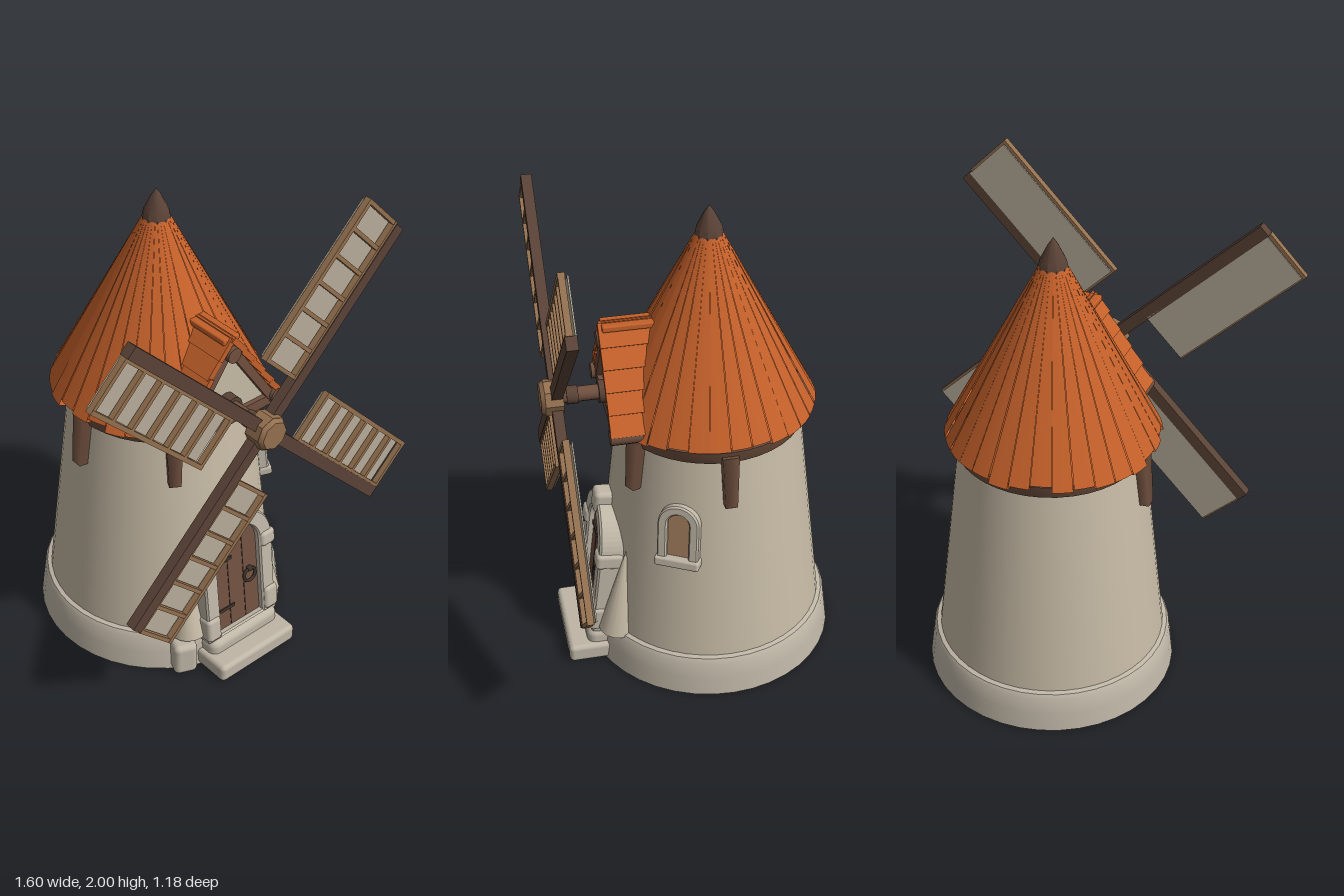
import * as THREE from 'three';
import { toCreasedNormals } from 'three/addons/utils/BufferGeometryUtils.js';
import { RoundedBoxGeometry } from 'three/addons/geometries/RoundedBoxGeometry.js';

const mat = (name, color, side = THREE.FrontSide) => {
  const m = new THREE.MeshStandardMaterial({ color, side });
  m.name = name;
  return m;
};

export function createModel() {
  const M = {
    plaster: mat('plaster', 0xc6baa5),
    stone: mat('stone', 0xbfb6a6),
    tile: mat('orange tile', 0xc4602a, THREE.DoubleSide),
    dark: mat('dark wood', 0x5a4236),
    wood: mat('brown wood', 0x70503f),
    light: mat('light wood', 0x93704f),
    cloth: mat('sail cloth', 0xb8ac9a),
    pane: mat('window pane', 0xa47e5e),
    iron: mat('iron', 0x3e322d),
  };
  const model = new THREE.Group();
  model.name = 'windmill';
  const CZ = -0.075, LEAN = -0.118;
  let seed = 7;
  const rnd = () => ((seed = (seed * 16807) % 2147483647) / 2147483647);

  const add = (name, geo, m, parent = model, x = 0, y = 0, z = 0) => {
    const mesh = new THREE.Mesh(geo, m);
    mesh.name = name;
    mesh.position.set(x, y, z);
    parent.add(mesh);
    return mesh;
  };
  const group = (name, parent = model) => {
    const g = new THREE.Group();
    g.name = name;
    parent.add(g);
    return g;
  };
  const box = (name, w, h, d, m, parent, x, y, z) => add(name, new THREE.BoxGeometry(w, h, d), m, parent, x, y, z);
  const block = (name, w, h, d, m, parent, x, y, z) =>
    add(name, new RoundedBoxGeometry(w, h, d, 2, Math.min(w, h, d) * 0.25), m, parent, x, y, z);
  // cylinder lying along z
  const log = (name, r, z0, z1, m, parent, x, y, sides = 12, r2 = r) => {
    const mesh = add(name, toCreasedNormals(new THREE.CylinderGeometry(r2, r, z1 - z0, sides), 0.7), m, parent, x, y, (z0 + z1) / 2);
    mesh.rotation.x = Math.PI / 2;
    return mesh;
  };
  const lathe = (pts, seg, start = 0, len = Math.PI * 2) =>
    toCreasedNormals(new THREE.LatheGeometry(pts.map(p => new THREE.Vector2(...p)), seg, start, len), 0.6);
  // round-topped outline standing on y = 0
  const arch = (w, h, Type = THREE.Shape) => {
    const s = new Type();
    s.moveTo(-w, 0);
    s.lineTo(w, 0);
    s.lineTo(w, h - w);
    s.absarc(0, h - w, w, 0, Math.PI, false);
    s.closePath();
    return s;
  };
  const archFrame = (w, h, t, depth) => {
    const s = arch(w + t, h + t);
    s.holes.push(arch(w, h, THREE.Path));
    return new THREE.ExtrudeGeometry(s, { depth, bevelEnabled: true, bevelSize: 0.006, bevelThickness: 0.008, bevelSegments: 1, curveSegments: 14 });
  };
  const plate = (shape, depth) => new THREE.ExtrudeGeometry(shape, { depth, bevelEnabled: false, curveSegments: 14 });

  // Tower: stone plinth, tapering wall and wooden eave ring
  add('plinth', lathe([[0, 0], [0.515, 0], [0.505, 0.08], [0.495, 0.15], [0.485, 0.168], [0.46, 0.175]], 40), M.stone, model, 0, 0, CZ);
  add('towerWall', lathe([[0.47, 0.15], [0.36, 1.1]], 48), M.plaster, model, 0, 0, CZ);
  add('eaveRing', lathe([[0.34, 1.06], [0.375, 1.065], [0.385, 1.09], [0.395, 1.125], [0.3, 1.14]], 40), M.wood, model, 0, 0, CZ);

  // Brackets under the eaves
  for (const a of [-Math.PI / 2, -0.55, 0.55, Math.PI / 2]) {
    const g = group('eaveBracket');
    g.position.z = CZ;
    g.rotation.y = a;
    const b = add('bracketPost', new THREE.CylinderGeometry(0.045, 0.034, 0.22, 4, 1), M.wood, g, 0, 0.99, 0.385);
    b.geometry.rotateY(Math.PI / 4);
    b.rotation.x = LEAN;
  }

  // Conical roof of separate planks, shortened over the dormer
  const roof = group('roof');
  roof.position.set(-0.01, 0, CZ);
  const N = 32, step = Math.PI * 2 / N;
  for (let i = 0; i < N; i++) {
    const a = (i + 0.5) * step;
    const front = Math.min(a, Math.PI * 2 - a) < 0.5;
    const yb = front ? 1.25 : 1.115 + rnd() * 0.03;
    const rb = 0.045 + (1.85 - yb) * 0.517 + rnd() * 0.008;
    add('roofPlank', lathe([[0.045, 1.85], [rb, yb], [rb - 0.03, yb - 0.012], [0.03, 1.8]], 2, i * step + 0.004, step - 0.008 * rnd() - 0.002), M.tile, roof);
  }
  add('roofLining', lathe([[0.03, 1.84], [0.345, 1.19], [0.385, 1.125]], 32), M.tile, roof);
  add('roofCap', lathe([[0.03, 1.815], [0.058, 1.82], [0.05, 1.86], [0.02, 1.92], [0, 1.95]], 10), M.dark, roof);

  // Dormer: gable wall, rafters, plank roof and log ends
  const dormer = group('dormer');
  const gable = new THREE.Shape([[-0.23, 1.12], [0.23, 1.12], [0, 1.46]].map(p => new THREE.Vector2(...p)));
  add('gableWall', plate(gable, 0.06), M.plaster, dormer, 0, 0, 0.255);
  box('tieBeam', 0.46, 0.045, 0.05, M.wood, dormer, 0, 1.125, 0.31);
  log('ridgeLog', 0.032, 0.15, 0.36, M.wood, dormer, 0, 1.435);
  const slope = Math.atan2(0.35, 0.24);
  for (const s of [-1, 1]) {
    log('eaveLog', 0.032, 0.15, 0.355, M.wood, dormer, s * 0.235, 1.145);
    const rafter = box('rafter', 0.4, 0.035, 0.03, M.wood, dormer, s * 0.115, 1.29, 0.325);
    rafter.rotation.z = -s * slope;
    for (let i = 0; i < 5; i++) {
      const t = (i + 0.5) / 5;
      const d = 0.25 + rnd() * 0.015;
      const p = box('dormerPlank', 0.096, 0.024, d, M.tile, dormer, s * (0.005 + 0.245 * t), 1.5 - 0.345 * t, 0.09 + d / 2);
      p.rotation.z = -s * (slope - 0.1);
    }
  }
  block('ridgePlank', 0.08, 0.025, 0.25, M.tile, dormer, 0, 1.495, 0.215);

  // Axle and rotor hub
  log('axle', 0.03, 0.1, 0.51, M.wood, model, 0, 1.2);
  log('axleCollar', 0.045, 0.3, 0.36, M.dark, model, 0, 1.2);
  log('axleTip', 0.036, 0.44, 0.485, M.dark, model, 0, 1.2);
  const rotor = group('rotor');
  rotor.position.y = 1.2;
  log('hub', 0.072, 0.5, 0.57, M.light, rotor, 0, 0, 8);
  log('hubFace', 0.07, 0.57, 0.586, M.light, rotor, 0, 0, 8, 0.058);

  // Four sails: arm, cloth and lattice frame
  for (let k = 0; k < 4; k++) {
    const sail = group('sail', rotor);
    sail.rotation.z = Math.PI / 4 + k * Math.PI / 2;
    box('arm', 0.88, 0.05, 0.042, M.dark, sail, 0.445, 0, 0.525);
    box('cloth', 0.66, 0.215, 0.006, M.cloth, sail, 0.55, 0.125, 0.507);
    box('outerRail', 0.68, 0.018, 0.026, M.light, sail, 0.55, 0.232, 0.53);
    box('innerRail', 0.68, 0.012, 0.026, M.light, sail, 0.55, 0.03, 0.53);
    for (let i = 0; i <= 6; i++)
      box('rung', 0.016, 0.21, 0.024, M.light, sail, 0.218 + i * 0.1107, 0.13, 0.53);
  }

  // Doorway leaning with the wall
  const door = group('doorway');
  door.position.set(0.005, 0.14, 0.41);
  door.rotation.x = LEAN;
  add('doorFrame', archFrame(0.12, 0.49, 0.055, 0.12), M.stone, door, 0, 0, -0.085);
  add('doorLeaf', plate(arch(0.122, 0.49), 0.03), M.wood, door, 0, 0, -0.015);
  block('keystone', 0.085, 0.1, 0.1, M.stone, door, 0, 0.545, 0.005);
  for (const s of [-1, 1]) {
    block('impostStone', 0.075, 0.07, 0.11, M.stone, door, s * 0.155, 0.36, 0);
    block('jambStone', 0.07, 0.11, 0.11, M.stone, door, s * 0.155, 0.06, 0);
    box('doorGroove', 0.004, 0.43, 0.004, M.iron, door, s * 0.04, 0.225, 0.015);
  }
  for (const y of [0.1, 0.34]) box('hinge', 0.1, 0.014, 0.006, M.iron, door, -0.07, y, 0.018);
  add('doorRing', new THREE.TorusGeometry(0.03, 0.007, 6, 18), M.iron, door, 0.065, 0.21, 0.025);
  block('ringPlate', 0.022, 0.022, 0.02, M.iron, door, 0.065, 0.24, 0.025);

  // Plaster flares beside the door
  for (const s of [-1, 1]) {
    const f = add('wallFlare', new THREE.ConeGeometry(0.075, 0.4, 16, 1, true), M.plaster, model, s * 0.2, 0.36, 0.325);
    f.rotation.x = LEAN;
  }

  // Front steps
  block('upperStep', 0.36, 0.14, 0.2, M.stone, model, 0.01, 0.07, 0.37);
  block('lowerStep', 0.4, 0.08, 0.25, M.stone, model, 0.01, 0.04, 0.425);
  block('stepSideStone', 0.1, 0.15, 0.14, M.stone, model, -0.24, 0.075, 0.35).rotation.y = -0.4;

  // Side window on the left
  const win = group('window');
  win.rotation.order = 'YXZ';
  win.rotation.set(LEAN, 1.08, 0);
  win.position.set(Math.sin(1.08) * 0.417, 0.62, CZ + Math.cos(1.08) * 0.417);
  add('windowFrame', archFrame(0.05, 0.22, 0.027, 0.05), M.stone, win, 0, 0, -0.03);
  add('windowPane', plate(arch(0.052, 0.22), 0.008), M.pane, win, 0, 0, 0);
  block('windowSill', 0.18, 0.04, 0.07, M.stone, win, 0, 0, 0.005);

  return model;
}
